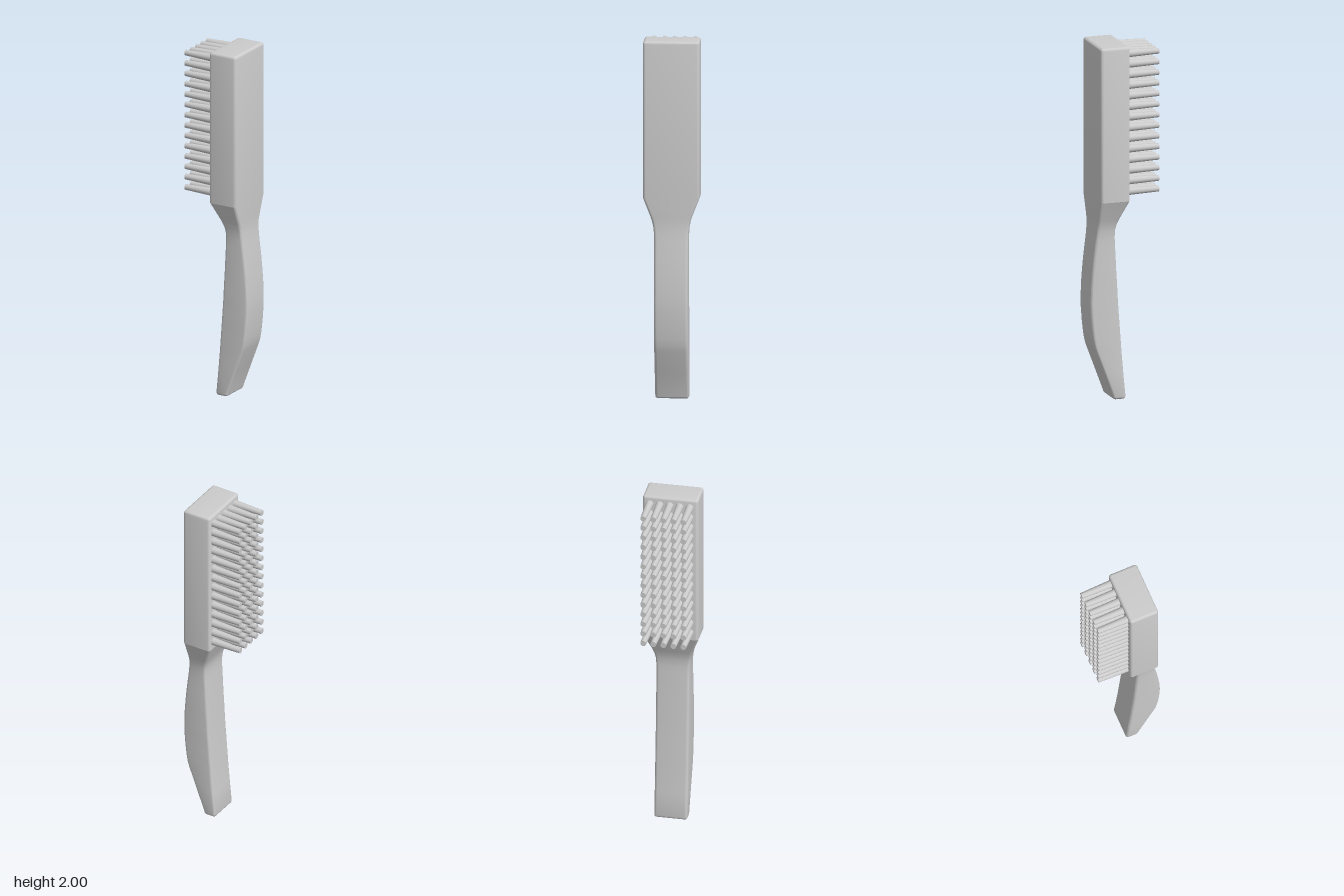
import * as THREE from 'three';
import { toCreasedNormals } from 'three/addons/utils/BufferGeometryUtils.js';

const R = 0.016; // edge rounding
const STEPS = 5; // segments per rounded quarter

// Rounded-rectangle ring at height y, spanning x0..x1 and -h..h in z, shrunk by inset
function ring(y, x0, x1, h, inset = 0) {
  const r = Math.max(R - inset, 0.002);
  const cx = (x0 + x1) / 2, hx = (x1 - x0) / 2 - inset - r, hz = h - inset - r;
  const points = [];
  [[1, 1], [-1, 1], [-1, -1], [1, -1]].forEach(([sx, sz], corner) => {
    for (let k = 0; k <= STEPS; k++) {
      const a = (corner + k / STEPS) * Math.PI / 2;
      points.push([cx + sx * hx + r * Math.cos(a), y, sz * hz + r * Math.sin(a)]);
    }
  });
  return points;
}

// Skin a stack of rings (bottom to top) and close both ends
function loft(rings) {
  const n = rings[0].length, positions = rings.flat(2), index = [];
  for (let i = 0; i < rings.length - 1; i++) {
    for (let j = 0; j < n; j++) {
      const a = i * n + j, b = i * n + (j + 1) % n;
      index.push(a, a + n, b + n, a, b + n, b);
    }
  }
  const last = (rings.length - 1) * n;
  for (let j = 1; j < n - 1; j++) {
    index.push(0, j, j + 1, last, last + j + 1, last + j);
  }
  const geometry = new THREE.BufferGeometry();
  geometry.setAttribute('position', new THREE.Float32BufferAttribute(positions, 3));
  geometry.setIndex(index);
  return toCreasedNormals(geometry, 0.35);
}

export function createModel() {
  const group = new THREE.Group();
  group.name = 'brush';
  const material = new THREE.MeshStandardMaterial({ color: 0xcccccc });

  // Body outline: y, bristle-side x, back x, half width
  const sections = [
    [R, -0.014, 0.06, 0.093],
    [0.15, -0.001, 0.11, 0.093],
    [0.28, 0.01, 0.159, 0.093],
    [0.31, 0.012, 0.168, 0.093],
    [0.35, 0.015, 0.175, 0.093],
    [0.42, 0.02, 0.183, 0.093],
    [0.5, 0.026, 0.189, 0.093],
    [0.56, 0.03, 0.19, 0.093],
    [0.64, 0.034, 0.187, 0.093],
    [0.72, 0.039, 0.181, 0.093],
    [0.8, 0.043, 0.173, 0.093],
    [0.88, 0.047, 0.163, 0.093],
    [0.92, 0.049, 0.158, 0.094],
    [0.96, 0.047, 0.154, 0.097],
    [0.99, 0.041, 0.152, 0.103],
    [1.02, 0.03, 0.152, 0.112],
    [1.13, -0.017, 0.152, 0.155],
    [2 - R, -0.017, 0.152, 0.155],
  ];
  const rings = sections.map((s) => ring(...s));

  // Rounded ends
  const bottom = sections[0], top = sections[sections.length - 1];
  for (let k = 1; k <= STEPS; k++) {
    const a = (k / STEPS) * Math.PI / 2;
    const inset = R * (1 - Math.cos(a)), rise = R * Math.sin(a);
    rings.unshift(ring(R - rise, ...bottom.slice(1), inset));
    rings.push(ring(2 - R + rise, ...top.slice(1), inset));
  }
  const body = new THREE.Mesh(loft(rings), material);
  body.name = 'handleAndHead';
  group.add(body);

  // Tapered bristles in a 14 x 5 grid
  const bristles = new THREE.Group();
  bristles.name = 'bristles';
  const length = 0.19;
  const bristleGeometry = new THREE.CylinderGeometry(0.016, 0.022, length, 18);
  bristleGeometry.rotateZ(Math.PI / 2);
  for (let row = 0; row < 14; row++) {
    for (let column = 0; column < 5; column++) {
      const bristle = new THREE.Mesh(bristleGeometry, material);
      bristle.name = 'bristle';
      bristle.position.set(-0.193 + length / 2, 1.178 + row * 0.0598, -0.003 + (column - 2) * 0.056);
      bristles.add(bristle);
    }
  }
  group.add(bristles);
  return group;
}
